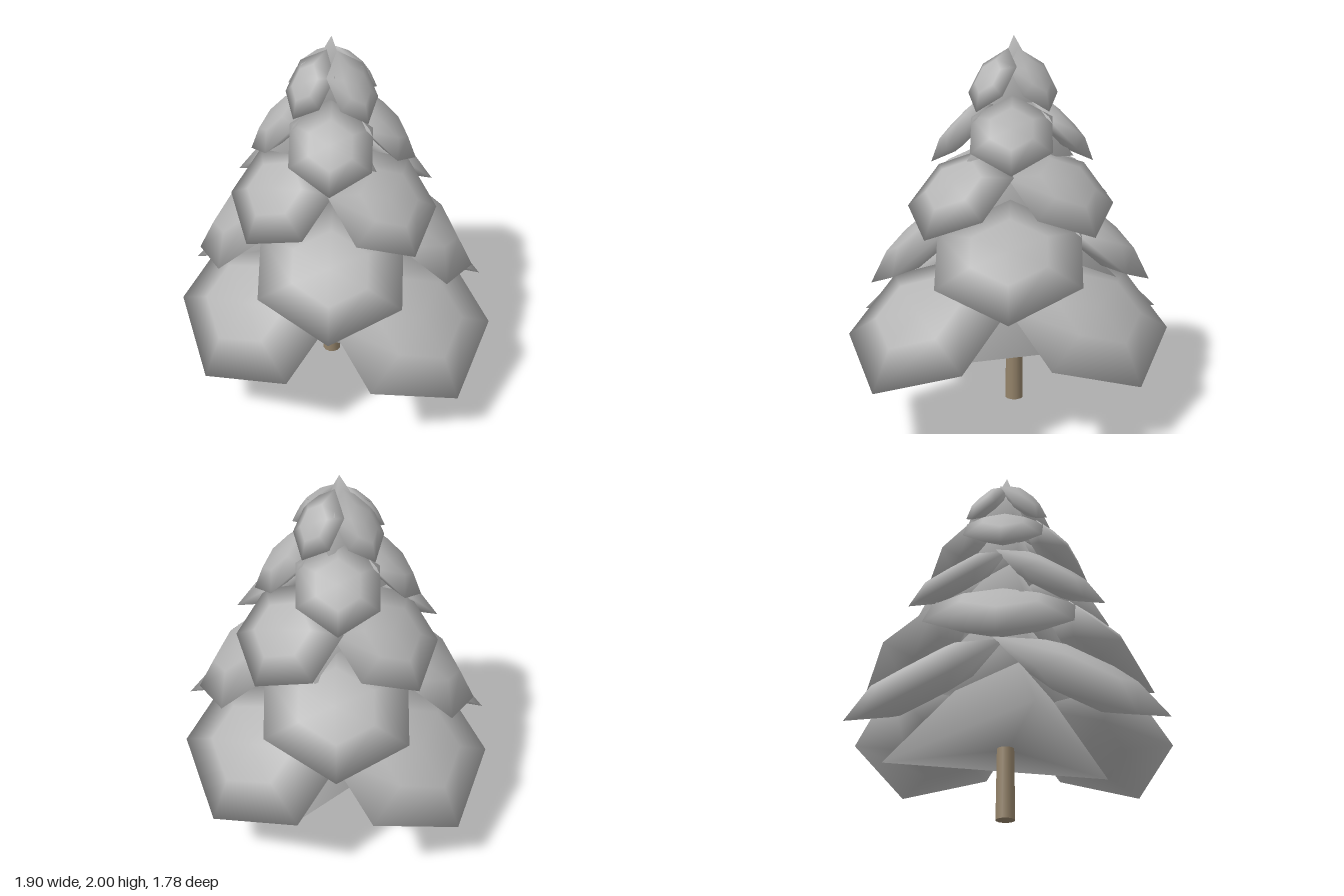
import * as THREE from 'three';
import { mergeVertices } from 'three/addons/utils/BufferGeometryUtils.js';

const STRETCH = 1.07; // the crown is slightly wider in x
const AXIS = -0.05;   // trunk position in x

// Six-sided cushion: lower ring, rim and upper ring, lying on a slope away from the trunk
function boughGeometry({ r, y, halfR, halfY, halfW, thick }, angle, shift) {
  const hex = [[1, 0], [0.45, 1], [-0.45, 1], [-1, 0], [-0.45, -1], [0.45, -1]];
  const len = Math.hypot(halfR, halfY);
  const pos = [], index = [];
  const add = (u, w, n) => {
    const pr = r + u * halfR + n * thick * halfY / len;
    const py = y - u * halfY + n * thick * halfR / len;
    const pw = w * halfW;
    const c = Math.cos(angle), s = Math.sin(angle);
    pos.push((pr * c - pw * s) * STRETCH + AXIS + shift, py, pr * s + pw * c);
  };
  for (const [scale, n] of [[0.5, -1], [1, 0], [0.52, 1]])
    for (const [u, w] of hex) add(u * scale, w * scale, n);
  add(0, 0, -1.05);
  add(0, 0, 1.05);
  for (let i = 0; i < 6; i++) {
    const j = (i + 1) % 6;
    for (const k of [0, 6]) {
      const a = k + i, b = k + j, c = a + 6, d = b + 6;
      index.push(a, c, b, b, c, d);
    }
    index.push(18, i, j, 19, 12 + j, 12 + i);
  }
  const g = new THREE.BufferGeometry();
  g.setAttribute('position', new THREE.Float32BufferAttribute(pos, 3));
  g.setIndex(index);
  g.computeVertexNormals();
  return g;
}

// Three-sided core with normals shared over every edge
function coreGeometry(radius, height) {
  let g = new THREE.ConeGeometry(radius, height, 3, 1, false, Math.PI / 2);
  g.deleteAttribute('uv');
  g.deleteAttribute('normal');
  g = mergeVertices(g, 1e-4);
  g.scale(STRETCH, 1, 1);
  g.computeVertexNormals();
  return g;
}

export function createModel() {
  const tree = new THREE.Group();
  tree.name = 'tree';
  const foliage = new THREE.MeshStandardMaterial({ color: 0xb4b4b4 });
  foliage.name = 'pale grey foliage';
  const bark = new THREE.MeshStandardMaterial({ color: 0x94836a });
  bark.name = 'brown bark';

  // Trunk
  const trunk = new THREE.Mesh(new THREE.CylinderGeometry(0.042, 0.05, 0.6, 12), bark);
  trunk.name = 'trunk';
  trunk.position.set(AXIS, 0.3, 0);
  tree.add(trunk);

  // Tiers from bottom to top; every second one is turned by an eighth
  const tiers = [
    { s: 1.0, r: 0.555, y: 0.595, halfR: 0.335, halfY: 0.285, base: 0.37, height: 0.63 },
    { s: 0.82, r: 0.45, y: 0.925, halfR: 0.28, halfY: 0.245, base: 0.73, height: 0.53 },
    { s: 0.64, r: 0.345, y: 1.23, halfR: 0.23, halfY: 0.21, base: 1.06, height: 0.46 },
    { s: 0.465, r: 0.245, y: 1.52, halfR: 0.17, halfY: 0.18, base: 1.38, height: 0.4 },
    { s: 0.285, r: 0.14, y: 1.78, halfR: 0.11, halfY: 0.155, base: 1.66, height: 0.34 },
  ];
  tiers.forEach((t, level) => {
    const tier = new THREE.Group();
    tier.name = `tier${level + 1}`;
    const core = new THREE.Mesh(coreGeometry(0.685 * t.s, t.height), foliage);
    core.name = 'core';
    core.position.set(AXIS + 0.02 * t.s, t.base + t.height / 2, 0);
    tier.add(core);
    const shape = { ...t, halfW: 0.43 * t.s, thick: 0.02 + 0.07 * t.s };
    for (let i = 0; i < 4; i++) {
      const angle = (i + (level % 2) / 2) * Math.PI / 2;
      const shift = t.s * (0.015 + 0.035 * Math.cos(angle) ** 2);
      const bough = new THREE.Mesh(boughGeometry(shape, angle, shift), foliage);
      bough.name = `bough${i + 1}`;
      tier.add(bough);
    }
    tree.add(tier);
  });
  return tree;
}
